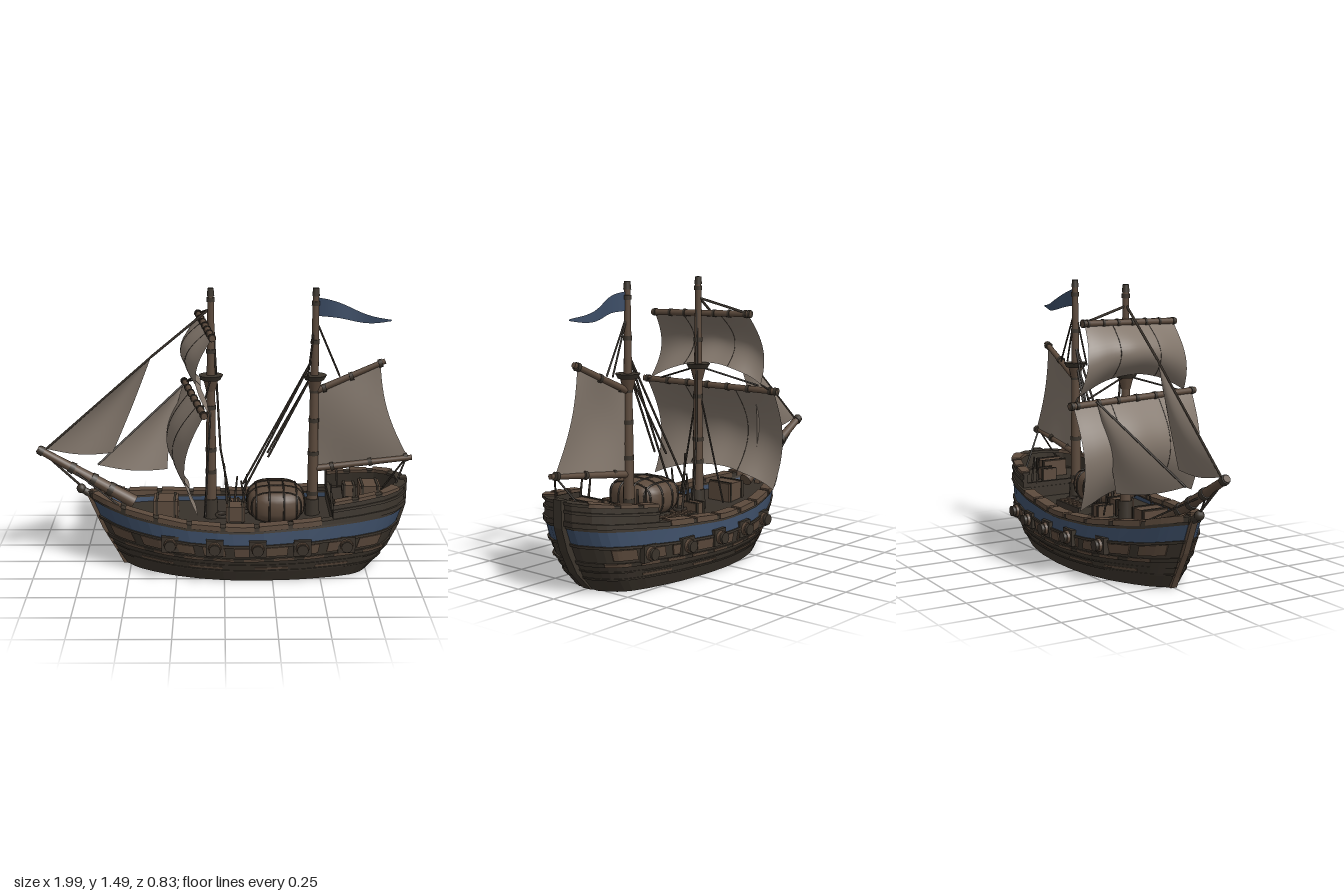
import * as THREE from 'three';

const paint = (name, color, side = THREE.FrontSide) => Object.assign(new THREE.MeshStandardMaterial({ color, side }), { name });
const V = (x, y, z) => new THREE.Vector3(x, y, z);
// linear lookup in a short table of [key, value]
const lookup = (tab, k) => {
  for (let i = 1; i < tab.length; i++) {
    if (k <= tab[i][0]) {
      const [a, p] = tab[i - 1], [b, q] = tab[i];
      return p + (q - p) * Math.max(0, (k - a) / (b - a));
    }
  }
  return tab[tab.length - 1][1];
};

// hull rules: half width along the length, flare with height, sheer height
const PLAN = [[0, .02], [.05, .11], [.12, .18], [.2, .245], [.3, .295], [.42, .33], [.55, .335], [.7, .318], [.85, .27], [.93, .225], [.97, .17], [1, .08]];
const FLARE = [[0, .83], [.2, .91], [.45, .98], [.65, 1.01], [.85, 1], [1, .97], [1.35, .94]];
const SHEER = [[-.71, .385], [-.5, .335], [-.2, .3], [.1, .29], [.45, .315], [.95, .36]];
const bowX = v => -.52 - .185 * Math.min(v, 1) ** .9;
const sternX = v => .765 + .18 * Math.min(v, 1) ** .7;
const hullPoint = (t, s, v, o = 0) => {
  const x = bowX(v) + t * (sternX(v) - bowX(v));
  const k = t > .9 ? (t - .9) * 10 : t < .05 ? t * 20 - 1 : 0;
  return V(x + o * k, v * lookup(SHEER, x), s * Math.max(.004, lookup(PLAN, t) * lookup(FLARE, v) + o));
};
const spread = (a, b, n) => Array.from({ length: n + 1 }, (_, i) => a + (b - a) * i / n);

const facets = quads => {
  const p = [];
  for (const [a, b, c, d] of quads) for (const q of [a, b, c, a, c, d]) p.push(q.x, q.y, q.z);
  const g = new THREE.BufferGeometry();
  g.setAttribute('position', new THREE.Float32BufferAttribute(p, 3));
  g.computeVertexNormals();
  return g;
};
// rectangular section swept along a hull path of [t, side]
const sweep = (path, v0, v1, o0, o1, closed) => {
  const rings = path.map(([t, s]) => [[v0, o1], [v1, o1], [v1, o0], [v0, o0]].map(([v, o]) => hullPoint(t, s, v, o)));
  const quads = [], n = rings.length;
  for (let i = 0; i < (closed ? n : n - 1); i++) {
    const a = rings[i], b = rings[(i + 1) % n];
    for (let k = 0; k < 4; k++) quads.push([a[k], b[k], b[(k + 1) % 4], a[(k + 1) % 4]]);
  }
  if (!closed) quads.push(rings[0], [...rings[n - 1]].reverse());
  return facets(quads);
};
const FULL = spread(0, 1, 32).map(i => (1 - Math.cos(Math.PI * i)) / 2);
const around = ts => [...ts.map(t => [t, 1]), ...[...ts].reverse().map(t => [t, -1])];

const grid = (f, n, m) => {
  const g = new THREE.PlaneGeometry(1, 1, n, m), p = g.attributes.position, uv = g.attributes.uv;
  for (let i = 0; i < p.count; i++) p.setXYZ(i, ...f(uv.getX(i), 1 - uv.getY(i)).toArray());
  g.computeVertexNormals();
  return g;
};

export function createModel() {
  const ship = new THREE.Group();
  ship.name = 'sailingShip';
  const canvas = paint('canvas', 0x82766b, THREE.DoubleSide), blue = paint('bluePaint', 0x3c4d66, THREE.DoubleSide);
  const wood = paint('wood', 0x5c4a3c), dark = paint('darkWood', 0x3b342c), deckMat = paint('deckPlanks', 0x37312a);
  const cord = paint('rope', 0x38312a), iron = paint('iron', 0x2c2926);

  const add = (name, geo, mat, pos) => {
    const m = new THREE.Mesh(geo, mat);
    m.name = name;
    if (pos) m.position.set(...pos);
    ship.add(m);
    return m;
  };
  const box = (name, size, pos, mat) => add(name, new THREE.BoxGeometry(...size), mat, pos);
  const rod = (name, a, b, r0, r1, mat, sides = 10) => {
    const p = V(...a), q = V(...b), m = add(name, new THREE.CylinderGeometry(r1, r0, p.distanceTo(q), sides), mat);
    m.position.copy(p).lerp(q, .5);
    m.quaternion.setFromUnitVectors(V(0, 1, 0), q.sub(p).normalize());
    return m;
  };
  const rope = (a, b, r = .005) => rod('rigging', a, b, r, r, cord, 5);
  const ring = (name, v0, v1, o0, o1, mat) => add(name, sweep(around(FULL), v0, v1, o0, o1, true), mat);
  const strake = (name, t0, t1, v0, v1, o0, o1, mat) => {
    const ts = spread(t0, t1, 6);
    for (const s of [1, -1]) add(name, sweep((s > 0 ? ts : [...ts].reverse()).map(t => [t, s]), v0, v1, o0, o1, false), mat);
  };

  // hull shell, stacked in planked courses
  [0, .2, .45, .72].forEach((v, i, a) => i && ring('hullPlanks', a[i - 1], v, -.03, 0, dark));
  ring('paintedBand', .72, .94, -.03, 0, blue);
  ring('upperPlanks', .94, 1, -.035, .004, dark);
  ring('lowerWale', .42, .48, 0, .009, dark);
  ring('upperWale', .69, .73, 0, .009, dark);
  ring('plankSeam', .2, .23, 0, .005, dark);
  ring('plankSeam', .32, .345, 0, .005, dark);
  ring('rail', .98, 1.05, -.045, .01, dark);
  for (let i = 0; i < 9; i++) {
    const t = .03 + i * .105;
    strake('waleBoard', t, t + .075, .52, .68, 0, .007, wood);
    strake('waleFacing', t + .03, t + .1, .425, .475, .005, .012, wood);
    if (t < .75) strake('railBoard', t - .02, t + .07, .99, 1.075, -.048, .014, wood);
  }
  for (const t of [.1, .28, .52, .74]) strake('lowerBoard', t, t + .12, .255, .29, 0, .004, wood);

  // bottom and decks
  const floor = (v, o, ts, flip) => facets(spread(0, ts.length - 2, ts.length - 2).map(i => {
    const q = [[i, 1], [i + 1, 1], [i + 1, -1], [i, -1]].map(([j, s]) => hullPoint(ts[j], s, v, o));
    return flip ? q.reverse() : q;
  }));
  add('hullBottom', floor(0, 0, FULL, true), dark);
  add('mainDeck', floor(.86, -.01, FULL), deckMat);
  add('sternDeck', floor(1.04, -.01, spread(.765, 1, 16)), deckMat);
  box('sternBulkhead', [.02, .1, .52], [.57, .315, 0], dark);

  // raised stern wall with capping
  const castle = around(spread(.765, 1, 16));
  add('sternWall', sweep(castle, 1, 1.28, -.025, 0, false), dark);
  add('sternMoulding', sweep(castle, 1.16, 1.2, 0, .008, false), dark);
  add('sternCap', sweep(castle, 1.27, 1.31, -.035, .008, false), dark);
  for (let i = 0; i < 3; i++) strake('sternRailBoard', .77 + i * .075, .825 + i * .075, 1.28, 1.33, -.04, .012, wood);

  // stem and stern posts
  const plate = (name, pts, d, mat) => {
    const g = new THREE.ExtrudeGeometry(new THREE.Shape(pts.map(p => new THREE.Vector2(...p))), { depth: d, bevelEnabled: false });
    return add(name, g.translate(0, 0, -d / 2), mat);
  };
  plate('stemPost', [[-.5, 0], [-.6, .36], [-.7, .41], [-.735, .4], [-.65, .2], [-.57, .06], [-.54, 0]], .035, wood);
  plate('sternPost', [[.72, 0], [.775, 0], [.87, .1], [.93, .22], [.965, .34], [.968, .48], [.93, .48], [.9, .3]], .055, dark);

  // cannons with their frames
  for (const x of [-.28, -.05, .17, .4, .63]) for (const s of [1, -1]) {
    const v = .2 / lookup(SHEER, x), t = (x - bowX(v)) / (sternX(v) - bowX(v)), z = Math.abs(hullPoint(t, 1, v).z);
    box('gunPort', [.09, .085, .03], [x, .2, s * z], dark);
    rod('cannonCollar', [x, .2, s * z], [x, .2, s * (z + .03)], .036, .033, wood, 12);
    rod('cannonBarrel', [x, .2, s * z], [x, .2, s * (z + .045)], .025, .025, iron, 12);
    rod('cannonMuzzle', [x, .2, s * (z + .034)], [x, .2, s * (z + .048)], .029, .029, dark, 12);
  }

  // masts, iron bands and lookout platforms
  for (const [x, bands] of [[-.07, [.33, .5, .62, .85, 1.15, 1.42]], [.47, [.38, .6, .78, .94, 1.2, 1.4]]]) {
    rod('mast', [x, .25, 0], [x, 1.46, 0], .031, .016, wood, 12);
    rod('mastFoot', [x, .25, 0], [x, .36, 0], .042, .036, dark, 10);
    rod('mastCap', [x, 1.45, 0], [x, 1.49, 0], .02, .016, dark, 10);
    for (const y of bands) rod('mastBand', [x, y, 0], [x, y + .022, 0], .034 - .009 * y, .034 - .009 * y, dark, 12);
    rod('lookoutPlatform', [x, 1.01, 0], [x, 1.035, 0], .05, .064, dark, 14);
    rod('lookoutBrace', [x, .95, 0], [x, 1.01, 0], .025, .04, wood, 10);
  }

  // square sails hung from slanted yards
  const squareSail = (a, b, drop, arch, spreadOut, belly) => {
    const p = V(...a), q = V(...b);
    rod('yard', a, b, .017, .017, wood);
    for (const k of [0, .04, .2, .35, .5, .65, .8, .96]) {
      const c = p.clone().lerp(q, k), d = p.clone().lerp(q, k + .022);
      rod('yardLashing', c.toArray(), d.toArray(), .021, .021, dark);
    }
    const f = (u, v) => {
      const e = 2 * u - 1, w = 1 - e * e;
      const c = p.clone().lerp(q, .5 + e * .475 * (1 + spreadOut * v));
      c.y -= v * (drop - arch * w) + .005;
      c.x -= belly * (.72 + .28 * w) * Math.sin(Math.PI * .9 * v) + .006 * Math.sin(u * 19) * v;
      return c;
    };
    add('squareSail', grid(f, 24, 16), canvas);
    for (const u of [.3, .7]) {
      const path = new THREE.CatmullRomCurve3(spread(0, 1, 8).map(v => f(u, v)));
      add('sailSeam', new THREE.TubeGeometry(path, 16, .0018, 4), cord);
    }
    return f;
  };
  const low = squareSail([-.22, .905, -.41], [-.1, .92, .41], .525, .09, -.05, .135);
  const high = squareSail([-.14, 1.305, -.295], [-.06, 1.29, .31], .36, .1, .2, .12);
  for (const u of [0, 1]) rope(high(u, 1).toArray(), low(u, 0).toArray());
  rope([-.07, 1.38, 0], [-.13, 1.31, -.27], .007);
  rope([-.07, 1.02, 0], [-.2, .93, -.3]);
  rope([-.07, 1.02, 0], [-.11, .93, .3]);

  // bowsprit and its fittings
  rod('bowsprit', [-.48, .34, 0], [-.985, .635, 0], .036, .019, wood);
  for (const k of [.22, .4, .62, .94]) {
    const at = j => [-.48 - .505 * j, .34 + .295 * j, 0];
    rod('bowspritBand', at(k), at(k + .05), .042 - .017 * k, .04 - .017 * k, dark);
  }
  add('bowKnob', new THREE.SphereGeometry(.026, 10, 8), dark, [-.76, .415, 0]);
  rod('bowBrace', [-.64, .34, 0], [-.77, .42, 0], .026, .018, dark, 8);
  rope([-.94, .6, 0], [-.74, .41, 0], .007);
  for (const s of [1, -1]) rope([-.82, .53, 0], [-.55, .37, s * .15]);

  // triangular headsails
  const jib = (head, tack, clew, belly, leech) => {
    const A = V(...head), B = V(...tack), C = V(...clew);
    const f = (u, v) => {
      const p = A.clone().lerp(B.clone().lerp(C, u), v);
      p.z -= belly * Math.sin(Math.PI * v) * Math.sin(Math.PI * u);
      p.y -= .02 * Math.sin(Math.PI * u) * v * v;
      p.x += leech * u * Math.sin(Math.PI * v);
      return p;
    };
    add('headsail', grid(f, 12, 14), canvas);
    rope(head, tack, .006);
  };
  jib([-.38, 1.13, 0], [-.94, .635, 0], [-.59, .61, -.01], .03, .005);
  jib([-.22, .92, -.26], [-.67, .54, -.02], [-.31, .46, -.2], .02, -.02);
  rope([-.08, 1.38, 0], [-.38, 1.13, 0], .007);

  // aft sail between gaff and boom
  rod('gaff', [.47, .945, 0], [.835, 1.11, .01], .018, .014, wood);
  rod('boom', [.47, .525, 0], [.99, .592, .02], .018, .014, wood);
  for (const [x, y] of [[.51, .963], [.65, 1.026], [.8, 1.095], [.56, .537], [.76, .562], [.95, .587]])
    rod('sparBand', [x, y, .01], [x + .02, y + .006, .01], .022, .022, dark);
  add('aftSail', grid((u, v) => V(
    THREE.MathUtils.lerp(.49 + .32 * u, .49 + .48 * u, v) - .035 * u * Math.sin(Math.PI * v),
    THREE.MathUtils.lerp(.955 + .142 * u, .53 + .06 * u, v),
    .01 * u + .03 * Math.sin(Math.PI * v) * Math.sin(Math.PI * u)), 12, 12), canvas);

  // pennant
  add('pennant', grid((u, v) => V(.485 + .375 * u,
    1.44 - .12 * u + .01 * Math.sin(u * 7) - v * .095 * (1 - u ** 1.4 * .93),
    .012 * Math.sin(u * 8)), 18, 4), blue);

  // standing and running ropes
  for (const s of [1, -1]) {
    rope([.47, 1.14, 0], [.1, .42, s * .06], .006);
    rope([.46, 1.04, 0], [.23, .6, s * .04], .006);
    rope([.47, 1.33, 0], [.6, 1.03, s * .02]);
    rope([-.07, .93, 0], [-.1, .3, s * .15]);
    rope([.96, .59, .02], [.86, .38, s * .12]);
  }
  rope([-.06, 1.36, 0], [-.02, .63, -.03], .006);
  rope([-.02, .63, -.03], [.04, .29, -.06], .006);
  rope([.47, 1.33, 0], [.43, 1.02, .05]);

  // lashed cargo bale with strapping
  const half = [.15, .095, .165], mid = [.27, .375, .08], bend = n => Math.sign(n) * Math.abs(n) ** .7;
  const bale = new THREE.SphereGeometry(1, 24, 16), bp = bale.attributes.position;
  for (let i = 0; i < bp.count; i++) bp.setXYZ(i, half[0] * bend(bp.getX(i)), half[1] * bend(bp.getY(i)), half[2] * bend(bp.getZ(i)));
  bale.computeVertexNormals();
  add('cargoBale', bale, wood, mid);
  for (const axis of [0, 2]) for (const c of [-.7, -.25, .25, .7]) {
    const q = 1.005 * (1 - Math.abs(c) ** 2.857) ** .35;
    const pts = spread(0, 2 * Math.PI, 24).slice(0, -1).map(a => {
      const p = [0, q * half[1] * bend(Math.sin(a)), 0];
      p[axis] = c * half[axis];
      p[2 - axis] = q * half[2 - axis] * bend(Math.cos(a));
      return V(...p);
    });
    add('cargoStrap', new THREE.TubeGeometry(new THREE.CatmullRomCurve3(pts, true), 40, .005, 5, true), cord, mid);
  }

  // crates, hatch and loose deck gear
  for (const [x, y, z, w, h, d] of [[-.31, .315, 0, .13, .1, .14], [.77, .4, 0, .11, .09, .14], [.67, .385, -.08, .07, .06, .08], [.06, .3, .05, .1, .08, .1], [.05, .29, -.07, .07, .06, .09]]) {
    box('crate', [w, h, d], [x, y, z], wood);
    for (const s of [-1, 1]) box('crateBatten', [.012, h + .01, d + .01], [x + s * w * .36, y, z], dark);
  }
  box('hatchFrame', [.25, .04, .08], [.26, .275, -.13], dark);
  for (let i = 0; i < 5; i++) box('hatchSlat', [.022, .012, .06], [.17 + i * .045, .298, -.13], wood);
  for (const [x, z] of [[.1, -.02], [-.01, .06], [.4, -.06]])
    add('ropeCoil', new THREE.TorusGeometry(.03, .01, 6, 14), cord, [x, .285, z]).rotation.x = Math.PI / 2;
  for (const [x, z, lean, top] of [[.02, .03, -.02, .56], [.05, -.04, .02, .47], [.09, .02, .03, .5], [.12, -.05, -.03, .44]])
    rod('deckPole', [x, .27, z], [x + lean, top, z], .008, .005, cord, 6);
  for (const s of [1, -1]) for (const x of [.56, .62]) rod('sternPin', [x, .36, s * .2], [x - .01, .5, s * .19], .007, .005, cord, 6);
  return ship;
}
